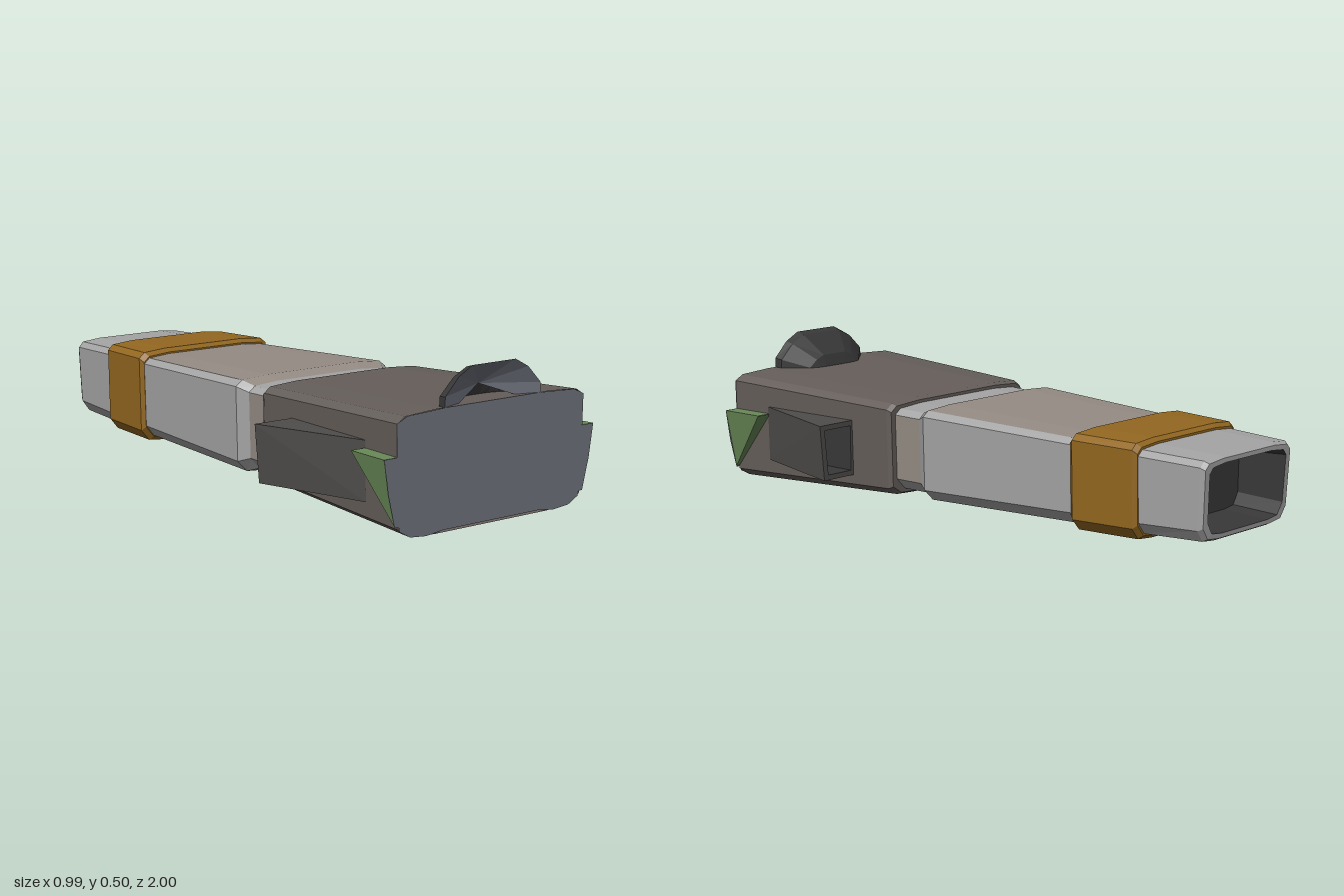
import * as THREE from 'three';

const mat = (color) => new THREE.MeshStandardMaterial({ color, flatShading: true, side: THREE.DoubleSide });
const M = {
  hull: mat(0x655e5a), hullDark: mat(0x4f4d4b), face: mat(0x70747e), dark: mat(0x383838),
  grey: mat(0xa4a4a4), warm: mat(0x958c84), band: mat(0x936720), green: mat(0x6a8a58),
};

// Skin a list of counter-clockwise rings running front to back; keep(i) picks facets.
function loft(name, material, rings, { start = false, end = false, keep = () => true } = {}) {
  const pos = [], n = rings[0].length;
  const tri = (a, b, c) => pos.push(...a, ...b, ...c);
  for (let k = 0; k < rings.length - 1; k++) {
    const [r, s] = [rings[k], rings[k + 1]];
    for (let i = 0; i < n; i++) {
      if (!keep(i)) continue;
      const j = (i + 1) % n;
      tri(r[i], s[i], s[j]);
      tri(r[i], s[j], r[j]);
    }
  }
  const first = rings[0], last = rings[rings.length - 1];
  for (let i = 1; i < n - 1; i++) {
    if (start) tri(first[0], first[i], first[i + 1]);
    if (end) tri(last[0], last[i + 1], last[i]);
  }
  const g = new THREE.BufferGeometry();
  g.setAttribute('position', new THREE.Float32BufferAttribute(pos, 3));
  g.computeVertexNormals();
  const mesh = new THREE.Mesh(g, material);
  mesh.name = name;
  return mesh;
}

// Twelve-sided chamfered section: half width w, bottom y0, top y1, lower chamfer c.
function section(z, w, y0, y1, c = 0.045, slant = 0) {
  const half = [
    [0.6 * w, y0], [0.86 * w, y0 + c * 0.15], [0.98 * w, y0 + c],
    [w, y1 - 0.026], [0.92 * w, y1 - 0.007], [0.6 * w, y1],
  ];
  const all = [...half, ...half.map(([x, y]) => [-x, y]).reverse()];
  return all.map(([x, y]) => [x, y, z + slant * (y1 - y)]);
}

// Four-cornered section with separate lower and upper outer corners.
const quad = (z, inner, outLow, outHigh, y0, y1) =>
  [[inner, y0, z], [outLow, y0, z], [outHigh, y1, z], [inner, y1, z]];

export function createModel() {
  const root = new THREE.Group();
  root.name = 'taperedPod';

  // Wide front hull
  root.add(loft('frontHull', M.hull, [
    section(1, 0.39, 0.003, 0.388, 0.035), section(0.28, 0.333, 0.035, 0.366, 0.03),
    section(0.265, 0.325, 0.042, 0.358, 0.03),
  ], { end: true }));

  // Flat front plate, including the fronts of the side wedges
  const edge = [
    [0.2, 0.01], [0.27, 0.002], [0.335, 0.008], [0.376, 0.03], [0.38, 0.045], [0.397, 0.047],
    [0.423, 0.15], [0.44, 0.26], [0.39, 0.26], [0.392, 0.362], [0.35, 0.381], [0.2, 0.388],
  ];
  const outline = [...edge, ...edge.map(([x, y]) => [-x, y]).reverse()];
  const plate = new THREE.Mesh(
    new THREE.ShapeGeometry(new THREE.Shape(outline.map(([x, y]) => new THREE.Vector2(x, y)))), M.face);
  plate.name = 'frontPlate';
  plate.position.z = 1;
  root.add(plate);

  // Dome shell on top of the front edge, with a concave front
  const arc = [[0.203, 0], [0.2, 0.066], [0.145, 0.122], [0.09, 0.151]];
  const arch = [...arc, ...arc.map(([x, y]) => [-x, y]).reverse()];
  const domeRing = (z, sx, sy) => arch.map(([x, y]) => [x * sx, 0.355 + y * sy, z]);
  const open = (i) => i < arch.length - 1;
  root.add(loft('domeShell', M.dark, [
    domeRing(1, 1, 1), domeRing(0.97, 0.98, 0.94), domeRing(0.9, 0.6, 0.47), domeRing(0.887, 0.55, 0.2),
  ], { end: true, keep: open }));
  root.add(loft('domeHollow', M.face, [
    arch.map(() => [0, 0.43, 0.93]), domeRing(1, 1, 1),
  ], { keep: open }));

  // Side intakes and wedges, mirrored
  for (const side of [1, -1]) {
    const g = new THREE.Group();
    g.name = side > 0 ? 'leftSide' : 'rightSide';
    g.scale.x = side;
    const mouth = quad(0.44, 0.352, 0.457, 0.472, 0.11, 0.267);
    g.add(loft('intake', M.hullDark, [
      quad(0.84, 0.36, 0.374, 0.378, 0.092, 0.285), quad(0.44, 0.33, 0.476, 0.493, 0.092, 0.285), mouth,
    ]));
    g.add(loft('intakeHollow', M.dark, [mouth, quad(0.7, 0.362, 0.39, 0.396, 0.11, 0.267)], { end: true }));
    g.add(loft('wedge', M.green, [
      quad(0.999, 0.36, 0.397, 0.44, 0.05, 0.26), quad(0.835, 0.36, 0.43, 0.43, 0.259, 0.26),
    ]));
    root.add(g);
  }

  // Neck and middle barrel: two-tone panels
  const isTop = (i) => i >= 4 && i <= 6;
  const isSide = (i) => i === 2 || i === 8;
  const neck = [section(0.29, 0.307, 0.052, 0.348), section(0.13, 0.298, 0.052, 0.345)];
  root.add(loft('neckSides', M.warm, neck, { keep: isSide }));
  root.add(loft('neckPanels', M.grey, neck, { keep: (i) => !isSide(i) }));
  const barrel = [
    section(0.16, 0.297, 0.053, 0.344), section(0.115, 0.323, 0.038, 0.362), section(-0.51, 0.268, 0.052, 0.346),
  ];
  root.add(loft('barrelTop', M.warm, barrel, { keep: isTop }));
  root.add(loft('barrelPanels', M.grey, barrel, { keep: (i) => !isTop(i) }));

  // Raised coloured band
  root.add(loft('band', M.band, [
    section(-0.495, 0.27, 0.048, 0.352), section(-0.51, 0.281, 0.034, 0.365),
    section(-0.74, 0.26, 0.038, 0.362), section(-0.755, 0.25, 0.05, 0.35),
  ], { start: true, end: true }));

  // Open tail with slanted end
  const lip = section(-1, 0.198, 0.088, 0.314, 0.045, 0.05);
  root.add(loft('tail', M.grey, [
    section(-0.74, 0.248, 0.056, 0.343), section(-0.985, 0.228, 0.065, 0.337, 0.045, 0.05),
    section(-1, 0.22, 0.073, 0.329, 0.045, 0.05), lip,
  ]));
  root.add(loft('tailHollow', M.dark, [lip, section(-0.82, 0.19, 0.095, 0.305)], { end: true }));

  return root;
}
